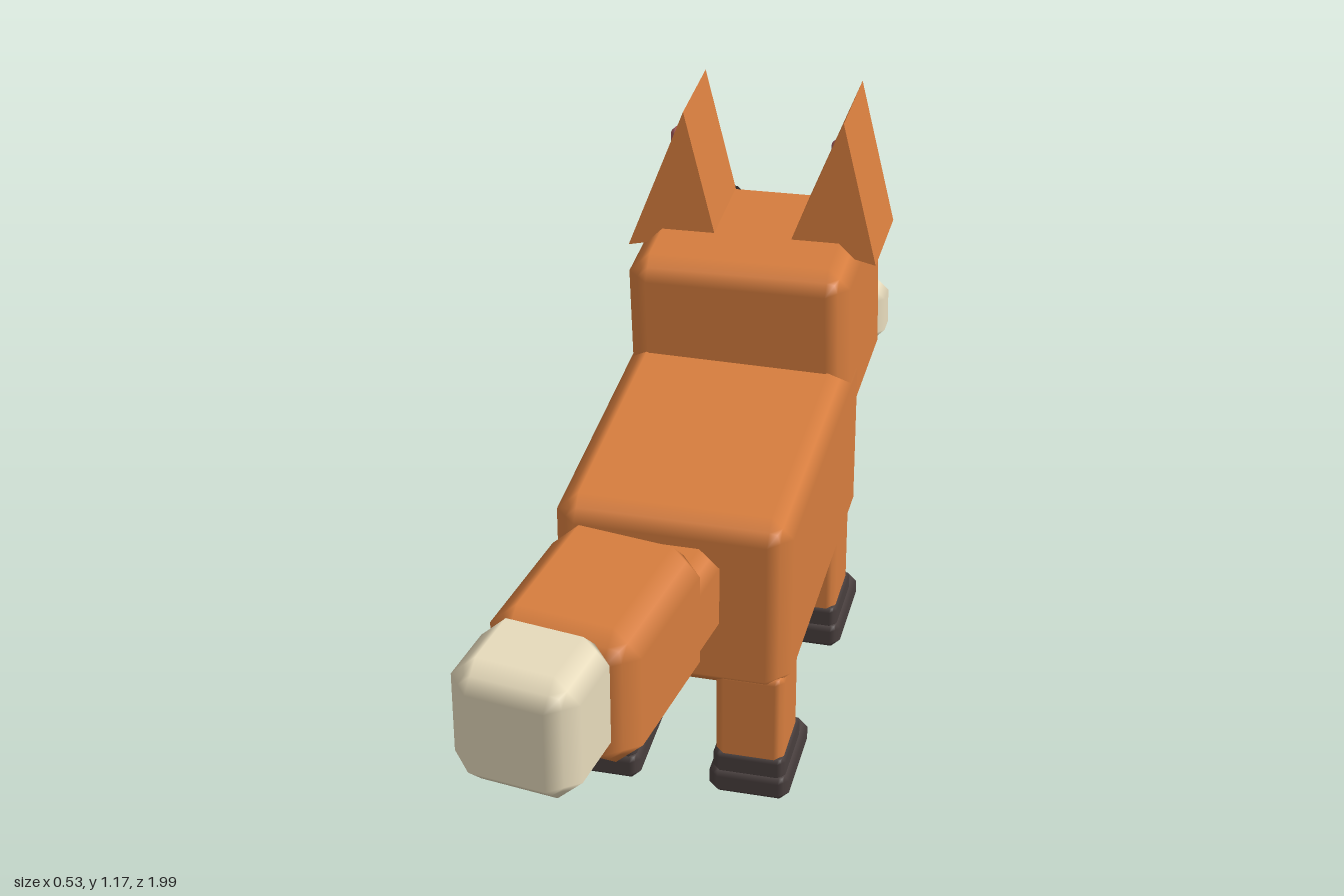
import * as THREE from 'three';

const mat = (color) => new THREE.MeshStandardMaterial({ color });

// Box with flat chamfers and softly blended normals
function chamferBox(w, h, d, r) {
  const geo = new THREE.BoxGeometry(1, 1, 1, 3, 3, 3);
  const half = [w / 2, h / 2, d / 2];
  const pos = geo.attributes.position, nor = geo.attributes.normal;
  const n = new THREE.Vector3();
  for (let i = 0; i < pos.count; i++) {
    const c = [pos.getX(i), pos.getY(i), pos.getZ(i)];
    const outer = c.map((v) => Math.abs(v) > 0.49);
    const m = outer.filter(Boolean).length;
    const p = c.map((v, k) => Math.sign(v) * (half[k] - (outer[k] ? (r * (m - 1)) / m : r)));
    n.set(...c.map((v, k) => (outer[k] ? Math.sign(v) : 0))).normalize();
    pos.setXYZ(i, ...p);
    nor.setXYZ(i, n.x, n.y, n.z);
  }
  return geo;
}

export function createModel() {
  const fox = new THREE.Group();
  fox.name = 'fox';
  const orange = mat(0xd67d3e), cream = mat(0xe6dabb), dark = mat(0x483e3d);
  const pink = mat(0xa45a5c), white = mat(0xe4e2dc), pupilMat = mat(0x1d2c2f), black = mat(0x2c2626);

  // Adds a chamfered block given its min and max corners
  function block(name, parent, material, [x0, y0, z0], [x1, y1, z1], r) {
    const mesh = new THREE.Mesh(chamferBox(x1 - x0, y1 - y0, z1 - z0, r), material);
    mesh.position.set((x0 + x1) / 2, (y0 + y1) / 2, (z0 + z1) / 2);
    mesh.name = name;
    parent.add(mesh);
    return mesh;
  }

  // Torso and chest
  block('body', fox, orange, [-0.235, 0.265, -0.48], [0.24, 0.675, 0.26], 0.045);
  block('chestFur', fox, cream, [-0.17, 0.33, -0.54], [0.175, 0.52, -0.45], 0.025);

  // Legs with ankle cuffs and paws, toes pointing to -z
  for (const x of [-0.15, 0.16]) {
    for (const [label, z] of [['front', -0.37], ['hind', 0.17]]) {
      const leg = new THREE.Group();
      leg.name = label + 'Leg';
      leg.position.set(x, 0, z);
      fox.add(leg);
      block('upperLeg', leg, orange, [-0.07, 0.09, -0.075], [0.07, 0.31, 0.075], 0.018);
      block('ankle', leg, dark, [-0.075, 0.05, -0.09], [0.075, 0.112, 0.077], 0.015);
      block('paw', leg, dark, [-0.083, 0, -0.142], [0.083, 0.07, 0.082], 0.02);
    }
  }

  // Tail sections, swung towards -x
  const tail = [
    ['tailBase', orange, [0.2, 0.21, 0.34], [-0.01, 0.505, 0.33], 0.04],
    ['tailMiddle', orange, [0.3, 0.305, 0.385], [-0.055, 0.6025, 0.59], 0.055],
    ['tailTip', cream, [0.25, 0.27, 0.225], [-0.1, 0.65, 0.87], 0.05],
  ];
  for (const [name, material, size, at, r] of tail) {
    const mesh = new THREE.Mesh(chamferBox(...size, r), material);
    mesh.name = name;
    mesh.position.set(...at);
    mesh.rotation.y = -0.155;
    fox.add(mesh);
  }

  // Head, slightly tilted around its centre
  const pivot = new THREE.Group();
  pivot.name = 'head';
  pivot.position.y = 0.7;
  pivot.rotation.z = 0.03;
  fox.add(pivot);
  const head = new THREE.Group();
  head.name = 'headParts';
  head.position.y = -0.7;
  pivot.add(head);
  block('skull', head, orange, [-0.232, 0.51, -0.73], [0.235, 0.893, -0.33], 0.045);
  block('muzzle', head, cream, [-0.135, 0.517, -0.945], [0.138, 0.684, -0.68], 0.04);
  block('nose', head, dark, [-0.07, 0.592, -1.0], [0.07, 0.685, -0.915], 0.025);

  // Cheeks, eyes and brows
  for (const s of [-1, 1]) {
    const side = (name, m, cx, w, y, z, r) =>
      block(name, head, m, [cx - w / 2, y[0], z[0]], [cx + w / 2, y[1], z[1]], r);
    side('cheek', cream, s * 0.165, 0.165, [0.535, 0.682], [-0.778, -0.665], 0.035);
    side('eyeWhite', white, s * 0.14, 0.135, [0.675, 0.825], [-0.747, -0.7], 0.008);
    side('pupil', pupilMat, s * 0.137, 0.07, [0.705, 0.8], [-0.766, -0.73], 0.008);
    side('eyeGlint', white, s * 0.137 + 0.02, 0.026, [0.765, 0.792], [-0.769, -0.75], 0.003);
    side('brow', black, s * 0.142, 0.145, [0.832, 0.87], [-0.757, -0.715], 0.014);
  }

  // Ears: triangular prisms leaning slightly forward, with inner strips
  const ears = [
    ['rightEar', [-0.265, 0.842], [-0.08, 0.888], [-0.15, 1.157], -0.192],
    ['leftEar', [0.083, 0.895], [0.263, 0.857], [0.185, 1.168], 0.156],
  ];
  for (const [name, a, b, c, stripX] of ears) {
    const shape = new THREE.Shape([a, b, c].map((p) => new THREE.Vector2(...p)));
    const geo = new THREE.ExtrudeGeometry(shape, { depth: 0.205, bevelEnabled: false });
    const p = geo.attributes.position;
    for (let i = 0; i < p.count; i++) p.setZ(i, p.getZ(i) - 0.687 - (p.getY(i) - 0.85) * 0.045);
    geo.computeVertexNormals();
    const ear = new THREE.Mesh(geo, orange);
    ear.name = name;
    fox.add(ear);
    const top = c[1] - 0.137;
    block('innerEar', fox, pink, [stripX - 0.03, top - 0.14, -0.708], [stripX + 0.03, top, -0.675], 0.01);
  }
  return fox;
}
